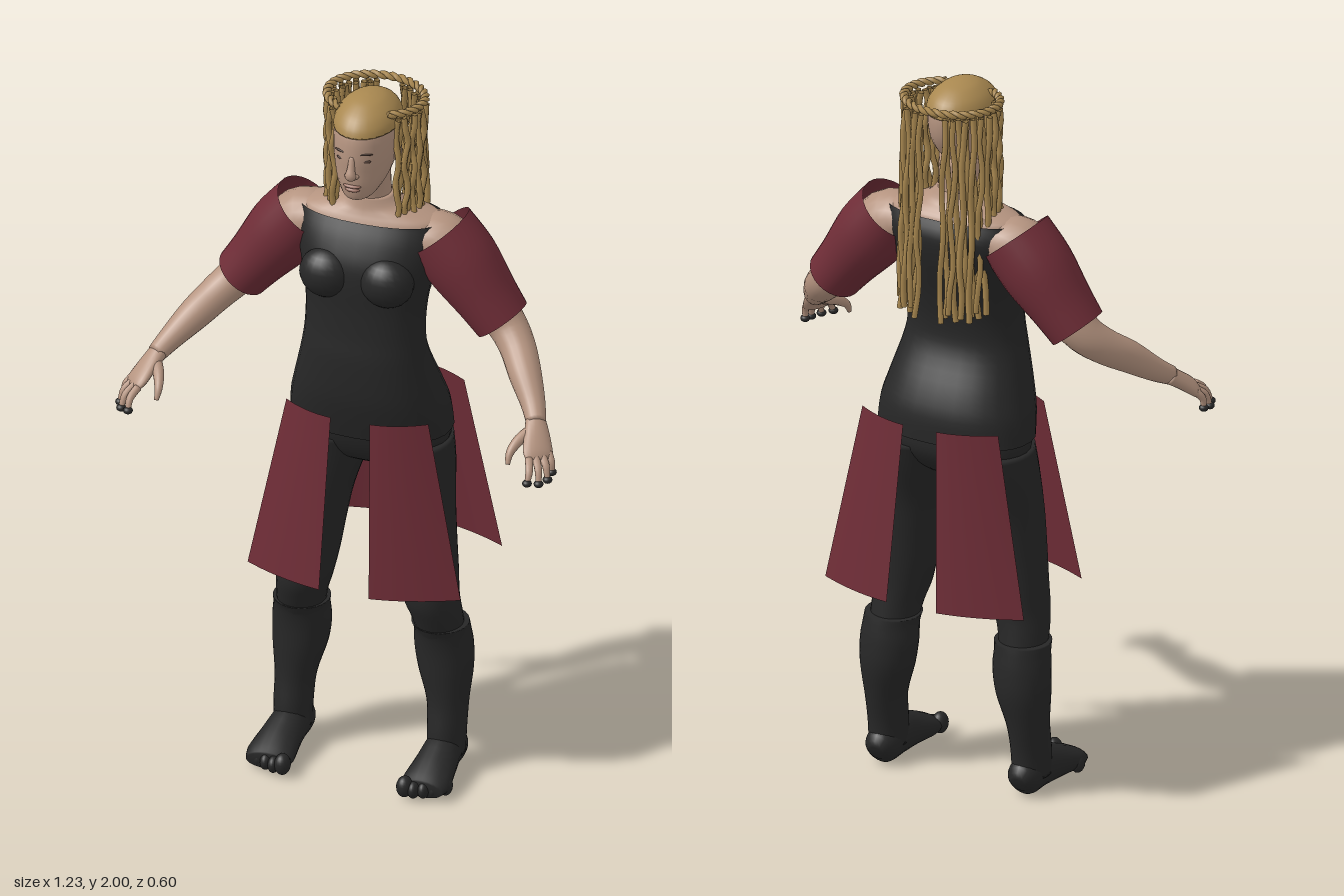
import * as THREE from 'three';

const mat = (name, color, side = THREE.FrontSide) => {
  const m = new THREE.MeshStandardMaterial({ color, side });
  m.name = name;
  return m;
};
const V = (x, y, z) => new THREE.Vector3(x, y, z);

// Smooth rows of numbers with a Catmull-Rom spline
function dense(rows, steps = 4) {
  const out = [], last = rows.length - 1;
  for (let i = 0; i < last; i++) {
    const a = rows[Math.max(i - 1, 0)], b = rows[i], c = rows[i + 1], d = rows[Math.min(i + 2, last)];
    for (let k = 0; k < steps; k++) {
      const t = k / steps;
      out.push(b.map((p, j) => p + 0.5 * t * (c[j] - a[j] + t * (2 * a[j] - 5 * p + 4 * c[j] - d[j]
        + t * (3 * (p - c[j]) + d[j] - a[j])))));
    }
  }
  out.push(rows[last]);
  return out;
}

// Skin a list of rings {c, u, v}; power > 1 squares the section
function skin(rings, caps, power = 1, n = 28) {
  const pos = [], idx = [], sp = (q) => Math.sign(q) * Math.abs(q) ** (1 / power);
  rings.forEach(({ c, u, v }) => {
    for (let j = 0; j < n; j++) {
      const a = (j / n) * Math.PI * 2;
      const p = c.clone().addScaledVector(u, sp(Math.cos(a))).addScaledVector(v, sp(Math.sin(a)));
      pos.push(p.x, p.y, p.z);
    }
  });
  for (let i = 0; i < rings.length - 1; i++) for (let j = 0; j < n; j++) {
    const a = i * n + j, b = i * n + (j + 1) % n;
    idx.push(a, b, a + n, b, b + n, a + n);
  }
  if (caps) [0, rings.length - 1].forEach((r, end) => {
    const centre = pos.length / 3;
    pos.push(...rings[r].c.toArray());
    for (let j = 0; j < n; j++) {
      const a = r * n + j, b = r * n + (j + 1) % n;
      idx.push(centre, end ? a : b, end ? b : a);
    }
  });
  const g = new THREE.BufferGeometry();
  g.setAttribute('position', new THREE.Float32BufferAttribute(pos, 3));
  g.setIndex(idx);
  g.computeVertexNormals();
  return g;
}

// Upright form, rows from bottom to top: [y, half width, front z, back z, centre x]
const upright = (rows, s = 1, caps = true, power = 1) => skin(dense(rows).map(([y, w, f, b, x = 0]) => ({
  c: V(x * s, y, (f + b) / 2), u: V(0, 0, (f - b) / 2), v: V(w, 0, 0),
})), caps, power);

// Limb along a path: [x, y, z, radius along ref, other radius]
function limb(rows, s, ref = [0, 0, 1], caps = true, n = 20) {
  const pts = dense(rows).map(([x, y, z, a, b = a]) => ({ c: V(x * s, y, z), a, b }));
  const r = V(ref[0] * s, ref[1], ref[2]);
  return skin(pts.map(({ c, a, b }, i) => {
    const t = pts[Math.min(i + 1, pts.length - 1)].c.clone().sub(pts[Math.max(i - 1, 0)].c).normalize();
    const u = r.clone().addScaledVector(t, -r.dot(t)).normalize();
    return { c, u: u.clone().multiplyScalar(a), v: t.clone().cross(u).multiplyScalar(b) };
  }), caps, 1, n);
}

export function createModel() {
  const model = new THREE.Group();
  model.name = 'figure';
  const black = mat('black cloth', 0x272727, THREE.DoubleSide);
  const red = mat('dark red cloth', 0x6f2d37, THREE.DoubleSide);
  const flesh = mat('skin', 0xb59480);
  const blond = mat('blond hair', 0xa98850, THREE.DoubleSide);
  const lip = mat('lips', 0x9a7062);
  const dark = mat('eyes and brows', 0x4f3b32);
  const add = (name, geo, m) => {
    const mesh = new THREE.Mesh(geo, m);
    mesh.name = name;
    model.add(mesh);
    return mesh;
  };
  const blob = (name, m, p, r) => {
    const mesh = add(name, new THREE.SphereGeometry(1, 20, 14), m);
    mesh.position.set(...p);
    mesh.scale.set(...r);
    return mesh;
  };

  // Torso, shoulders and neck
  add('tunic', upright([
    [1.01, 0.222, 0.082, -0.19], [1.08, 0.216, 0.1, -0.187], [1.15, 0.198, 0.112, -0.163],
    [1.25, 0.172, 0.113, -0.115], [1.32, 0.163, 0.105, -0.107], [1.4, 0.165, 0.1, -0.123],
    [1.47, 0.178, 0.1, -0.145], [1.53, 0.191, 0.092, -0.163], [1.59, 0.205, 0.066, -0.17],
    [1.637, 0.2, 0.038, -0.15]], 1, false, 1.15), black);
  add('pelvis', upright([[0.9, 0.1, 0.0, -0.12], [0.93, 0.17, 0.04, -0.155], [0.98, 0.213, 0.065, -0.182],
    [1.04, 0.212, 0.08, -0.182]], 1, true, 1.1), black);
  add('shoulders', upright([[1.6, 0.195, 0.05, -0.155], [1.637, 0.193, 0.032, -0.146], [1.655, 0.15, 0.022, -0.13],
    [1.672, 0.09, 0.015, -0.112], [1.7, 0.06, 0.008, -0.1]], 1, true, 1.1), flesh);
  add('neck', upright([[1.62, 0.075, 0.02, -0.11], [1.67, 0.06, 0.008, -0.1], [1.71, 0.054, 0.01, -0.098],
    [1.79, 0.054, 0.03, -0.1]]), flesh);

  // Head and face
  add('head', upright([[1.735, 0.022, 0.085, 0.035], [1.745, 0.042, 0.097, -0.01], [1.78, 0.064, 0.104, -0.07],
    [1.82, 0.077, 0.105, -0.11], [1.87, 0.084, 0.106, -0.135], [1.93, 0.083, 0.095, -0.138],
    [1.965, 0.06, 0.06, -0.11]]), flesh);
  add('scalp', upright([[1.925, 0.088, 0.1, -0.144], [1.945, 0.085, 0.091, -0.139], [1.968, 0.071, 0.07, -0.122],
    [1.988, 0.047, 0.036, -0.088], [1.997, 0.024, 0.008, -0.055], [2, 0.004, -0.018, -0.028]]), blond);
  add('nose', limb([[0, 1.872, 0.1, 0.006, 0.008], [0, 1.842, 0.108, 0.009, 0.01], [0, 1.82, 0.112, 0.014, 0.015],
    [0, 1.81, 0.107, 0.008, 0.012]], 1), flesh);
  blob('upperLip', lip, [0, 1.784, 0.099], [0.025, 0.006, 0.011]);
  blob('lowerLip', lip, [0, 1.773, 0.097], [0.021, 0.007, 0.012]);
  for (const s of [-1, 1]) {
    blob('eye', dark, [0.035 * s, 1.859, 0.09], [0.014, 0.005, 0.006]).rotation.y = 0.35 * s;
    blob('brow', dark, [0.036 * s, 1.881, 0.092], [0.019, 0.003, 0.004]).rotation.y = 0.4 * s;
    blob('nostril', flesh, [0.012 * s, 1.816, 0.103], [0.008, 0.007, 0.01]);
    blob('ear', flesh, [0.083 * s, 1.845, -0.02], [0.011, 0.031, 0.019]);
  }

  for (const s of [-1, 1]) {
    blob('bust', black, [0.085 * s, 1.49, 0.065], [0.074, 0.07, 0.06]);

    // Leg, boot and foot
    add('leg', upright([[0.38, 0.062, 0.01, -0.115, 0.198], [0.46, 0.068, 0.042, -0.105, 0.19],
      [0.52, 0.075, 0.06, -0.1, 0.178], [0.6, 0.083, 0.058, -0.103, 0.167], [0.7, 0.089, 0.064, -0.112, 0.155],
      [0.8, 0.096, 0.068, -0.127, 0.142], [0.91, 0.108, 0.068, -0.164, 0.122], [0.98, 0.106, 0.07, -0.185, 0.112]], s), black);
    add('boot', upright([[0.05, 0.05, 0.03, -0.098, 0.216], [0.12, 0.052, 0.025, -0.1, 0.216],
      [0.2, 0.056, 0.013, -0.115, 0.214], [0.29, 0.074, 0.013, -0.133, 0.205], [0.36, 0.08, 0.014, -0.132, 0.2],
      [0.41, 0.076, 0.022, -0.126, 0.198], [0.435, 0.077, 0.034, -0.122, 0.195]], s), black);
    add('foot', limb([[0.215, 0.04, -0.105, 0.022, 0.022], [0.215, 0.05, -0.08, 0.045, 0.05],
      [0.215, 0.058, -0.01, 0.05, 0.058], [0.218, 0.048, 0.06, 0.058, 0.048],
      [0.219, 0.035, 0.125, 0.066, 0.035], [0.218, 0.03, 0.16, 0.058, 0.024]], s, [1, 0, 0]), black);
    for (let i = 0; i < 5; i++) {
      const r = i ? 0.016 : 0.022;
      blob('toe', black, [s * (0.172 + i * 0.025), r + 0.012, 0.165 - 0.006 * i * i / 2], [r, r + 0.008, 0.025]);
    }

    // Arm, hand and nails
    add('arm', limb([[0.13, 1.59, -0.06, 0.08, 0.06], [0.2, 1.56, -0.06, 0.085, 0.088], [0.29, 1.465, -0.057, 0.07],
      [0.37, 1.37, -0.055, 0.055], [0.42, 1.32, -0.02, 0.049], [0.465, 1.275, 0.04, 0.044],
      [0.51, 1.225, 0.1, 0.033], [0.535, 1.195, 0.145, 0.026]].map((p) => [...p.slice(0, 4), p[4] ?? p[3]]), s), flesh);
    const across = [-0.55, 0, 0.83];
    add('palm', limb([[0.53, 1.2, 0.135, 0.027, 0.024], [0.547, 1.175, 0.17, 0.036, 0.02],
      [0.564, 1.145, 0.208, 0.043, 0.017], [0.573, 1.13, 0.222, 0.036, 0.011]], s, across), flesh);
    const tips = [[0.602, 1.092, 0.205], [0.602, 1.086, 0.238], [0.588, 1.086, 0.268], [0.562, 1.092, 0.286]];
    tips.forEach(([x, y, z], i) => {
      const k = (i - 1.5) * 0.021;
      const bx = 0.568 - 0.55 * k, bz = 0.215 + 0.83 * k;
      add('finger', limb([[bx, 1.14, bz, 0.011, 0.011], [(bx + x) / 2 + 0.006, 1.12, (bz + z) / 2 + 0.006, 0.01, 0.01],
        [x, y, z, 0.007, 0.007]], s, across, true, 10), flesh);
      blob('nail', black, [x * s, y, z], [0.013, 0.01, 0.013]);
    });
    add('thumb', limb([[0.535, 1.185, 0.155, 0.018, 0.018], [0.508, 1.168, 0.2, 0.015, 0.015],
      [0.495, 1.145, 0.235, 0.011, 0.011], [0.495, 1.118, 0.252, 0.006, 0.006]], s, [1, 0, 0], true, 12), flesh);

    // Sleeve
    add('sleeve', limb([[0.185, 1.6, -0.062, 0.102, 0.098], [0.25, 1.52, -0.062, 0.103, 0.1],
      [0.32, 1.43, -0.058, 0.092, 0.083], [0.366, 1.371, -0.055, 0.085, 0.075]], s, [0, 0, 1], false, 28), red);

    // Flared skirt panels: inner and outer corners [x, z] at top and bottom
    [['frontPanel', [0.055, 0.115], [0.2, 0.06], [0.07, 0.163], [0.3, 0.085]],
      ['backPanel', [0.05, -0.255], [0.205, -0.197], [0.075, -0.3], [0.3, -0.228]]].forEach(([name, ti, to, bi, bo]) => {
      const g = new THREE.PlaneGeometry(1, 1, 10, 4), p = g.attributes.position;
      for (let i = 0; i < p.count; i++) {
        const a = p.getX(i) * s + 0.5, h = p.getY(i) + 0.5, L = THREE.MathUtils.lerp;
        const bow = Math.sign(ti[1]) * 0.045 * a * (1 - a);
        p.setXYZ(i, s * L(L(bi[0], bo[0], a), L(ti[0], to[0], a), h), L(0.58, 1.08, h),
          L(L(bi[1], bo[1], a), L(ti[1], to[1], a), h) + bow);
      }
      g.computeVertexNormals();
      add(name, g, red);
    });

    // Hanging hair strands
    for (let i = 0; i < 21; i++) {
      const a = 0.28 + i * 0.105, odd = i % 2;
      const x = (0.13 - odd * 0.012) * Math.sin(a), z = -0.08 - (0.11 - odd * 0.012) * Math.cos(a);
      const end = z < -0.105 ? 1.375 + 0.012 * (i % 3) : 1.645;
      const pts = [];
      for (let k = 0; k <= 8; k++) {
        const t = k / 8;
        pts.push(V(s * (x + 0.005 * Math.sin(k * 1.7 + i * 2)), 1.95 + (end - 1.95) * t,
          z - (z < -0.105 ? 0.024 * t : 0) + 0.003 * Math.cos(k * 1.9 + i)));
      }
      add('hairStrand', new THREE.TubeGeometry(new THREE.CatmullRomCurve3(pts), 24, 0.0085, 6), blond);
    }
  }

  // Twisted hair band, open at the front
  for (const phase of [0, Math.PI]) {
    const pts = [];
    for (let k = 0; k <= 120; k++) {
      const a = -2.6 + (k / 120) * 5.2, w = a * 16 + phase, r = 0.006 * Math.cos(w);
      pts.push(V((0.132 + r) * Math.sin(a), 1.966 + 0.005 * Math.sin(w), -0.08 - (0.108 + r) * Math.cos(a)));
    }
    add('hairBand', new THREE.TubeGeometry(new THREE.CatmullRomCurve3(pts), 200, 0.007, 6), blond);
  }
  return model;
}
